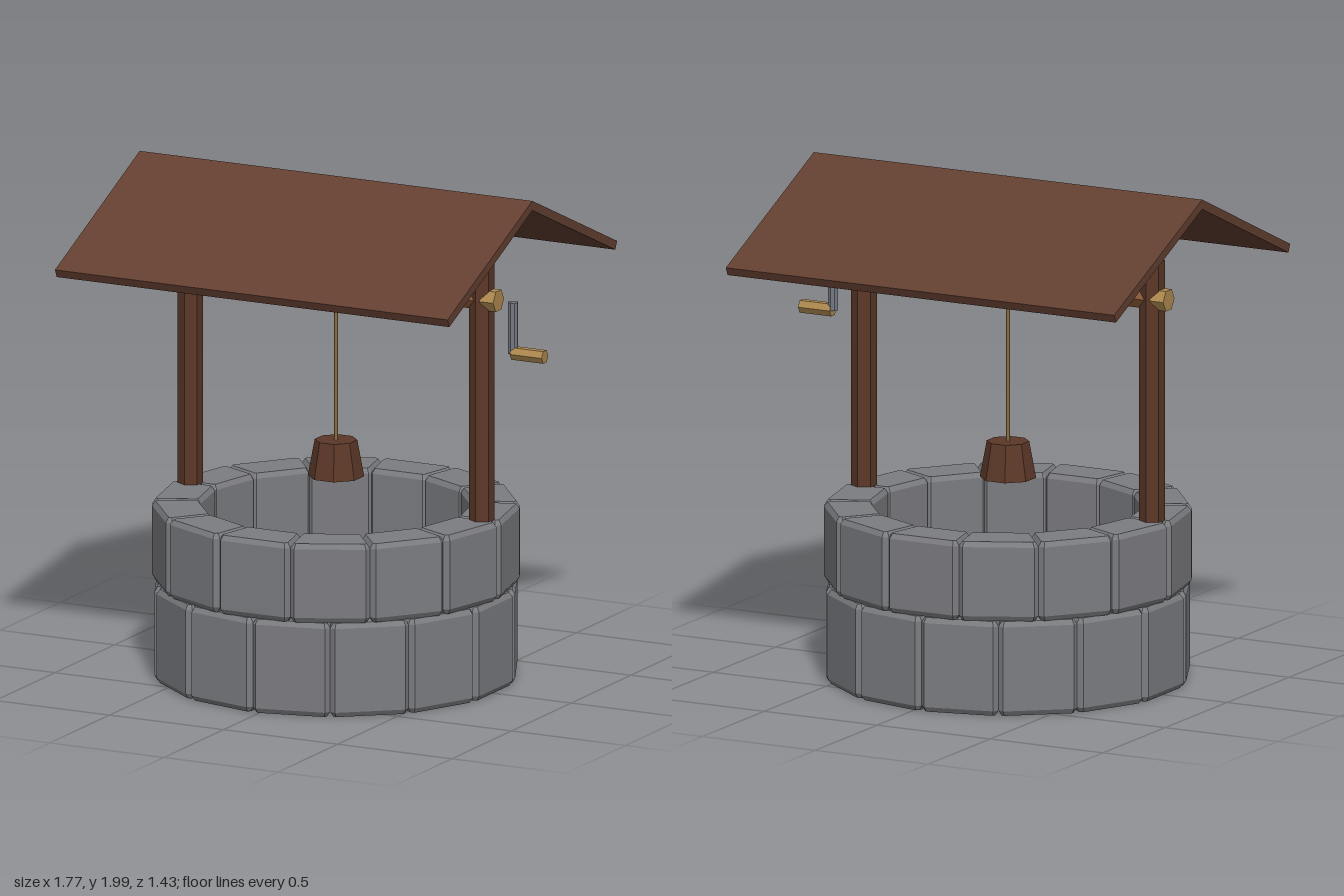
import * as THREE from 'three';

const mat = (name, color, extra = {}) =>
  Object.assign(new THREE.MeshStandardMaterial({ color, flatShading: true, ...extra }), { name });

export function createModel() {
  const stone = mat('stone', 0x7c7d81);
  const roofWood = mat('roof wood', 0x633f30);
  const postWood = mat('post wood', 0x5c3828);
  const beamWood = mat('beam wood', 0x8a5a36);
  const paleWood = mat('pale wood', 0xb08a50);
  const ropeFibre = mat('rope fibre', 0xb08c58);
  const metal = mat('metal', 0x757a83);
  const waterBlue = mat('water', 0x2b688c, { side: THREE.DoubleSide });

  const model = new THREE.Group();
  model.name = 'well';
  // Everything but the crank is centred on the shaft
  const well = new THREE.Group();
  well.name = 'wellBody';
  well.position.x = -0.03;
  model.add(well);

  const add = (parent, name, geo, material, x = 0, y = 0, z = 0) => {
    const m = new THREE.Mesh(geo, material);
    m.name = name;
    m.position.set(x, y, z);
    parent.add(m);
    return m;
  };
  // Cylinder lying along x
  const rod = (r, len, sides) => new THREE.CylinderGeometry(r, r, len, sides).rotateZ(Math.PI / 2);

  // Stone rings: wedge blocks with chamfered corners
  const COUNT = 14, STEP = (Math.PI * 2) / COUNT;
  function stoneBlock(inner, outer, height) {
    const t = Math.tan(STEP / 2), c = 0.022, b = 0.02;
    const half = [
      [inner * t - 0.008, inner],
      [(inner + 0.01) * t, inner + 0.01],
      [(outer - c) * t, outer - c],
      [outer * t - 0.02, outer],
    ];
    const pts = [...half, ...half.map(([x, r]) => [-x, r]).reverse()];
    const shape = new THREE.Shape(pts.map(([x, r]) => new THREE.Vector2(x, -r)));
    const geo = new THREE.ExtrudeGeometry(shape, {
      depth: height - 2 * b, bevelEnabled: true, bevelSegments: 1,
      bevelThickness: b, bevelSize: 0.012, bevelOffset: -0.012,
    });
    return geo.rotateX(-Math.PI / 2).translate(0, b, 0);
  }
  const rings = [
    { name: 'lowerStone', y: 0.01, h: 0.375, shift: 0.5 },
    { name: 'upperStone', y: 0.385, h: 0.315, shift: 0 },
  ];
  for (const { name, y, h, shift } of rings) {
    const geo = stoneBlock(0.515, 0.7, h);
    for (let i = 0; i < COUNT; i++) {
      add(well, name, geo, stone, 0, y).rotation.y = (i + shift) * STEP;
    }
  }

  // Water
  add(well, 'water', new THREE.CircleGeometry(0.53, 28).rotateX(-Math.PI / 2), waterBlue, 0, 0.33);

  // Posts and the pegs holding the beam
  for (const s of [-1, 1]) {
    add(well, 'post', new THREE.CylinderGeometry(0.05, 0.05, 1.36, 6), postWood, s * 0.638, 1.055);
    add(well, 'beamPeg', rod(0.046, 0.06, 6), paleWood, s * 0.682, 1.583);
  }

  // Beam, rope coil and rope
  add(well, 'beam', rod(0.044, 1.3, 6), beamWood, 0, 1.583);
  const loop = new THREE.TorusGeometry(0.046, 0.019, 6, 6).rotateY(Math.PI / 2);
  for (let i = 0; i < 8; i++) {
    add(well, 'ropeLoop', loop, ropeFibre, (i - 3.5) * 0.037, 1.545);
  }
  add(well, 'rope', new THREE.CylinderGeometry(0.008, 0.008, 0.58, 6), ropeFibre, 0, 1.225);

  // Bucket
  add(well, 'bucket', new THREE.CylinderGeometry(0.083, 0.11, 0.145, 8).rotateY(Math.PI / 8),
    postWood, 0, 0.873);

  // Gabled roof: profile in z and y, extruded along x
  const side = [[0.695, 1.65], [0.71, 1.682]];
  const profile = [[0, 1.962], ...side, [0, 2], ...side.map(([z, y]) => [-z, y]).reverse()];
  const roofShape = new THREE.Shape(profile.map(([z, y]) => new THREE.Vector2(z, y)));
  const roofGeo = new THREE.ExtrudeGeometry(roofShape, { depth: 1.72, bevelEnabled: false });
  add(well, 'roof', roofGeo.translate(0, 0, -0.86).rotateY(Math.PI / 2), roofWood);

  // Crank: metal arm and wooden grip
  add(model, 'crankArm', new THREE.CylinderGeometry(0.021, 0.021, 0.205, 8), metal, 0.745, 1.483);
  add(model, 'crankGrip', rod(0.028, 0.14, 6), paleWood, 0.815, 1.382);

  return model;
}
